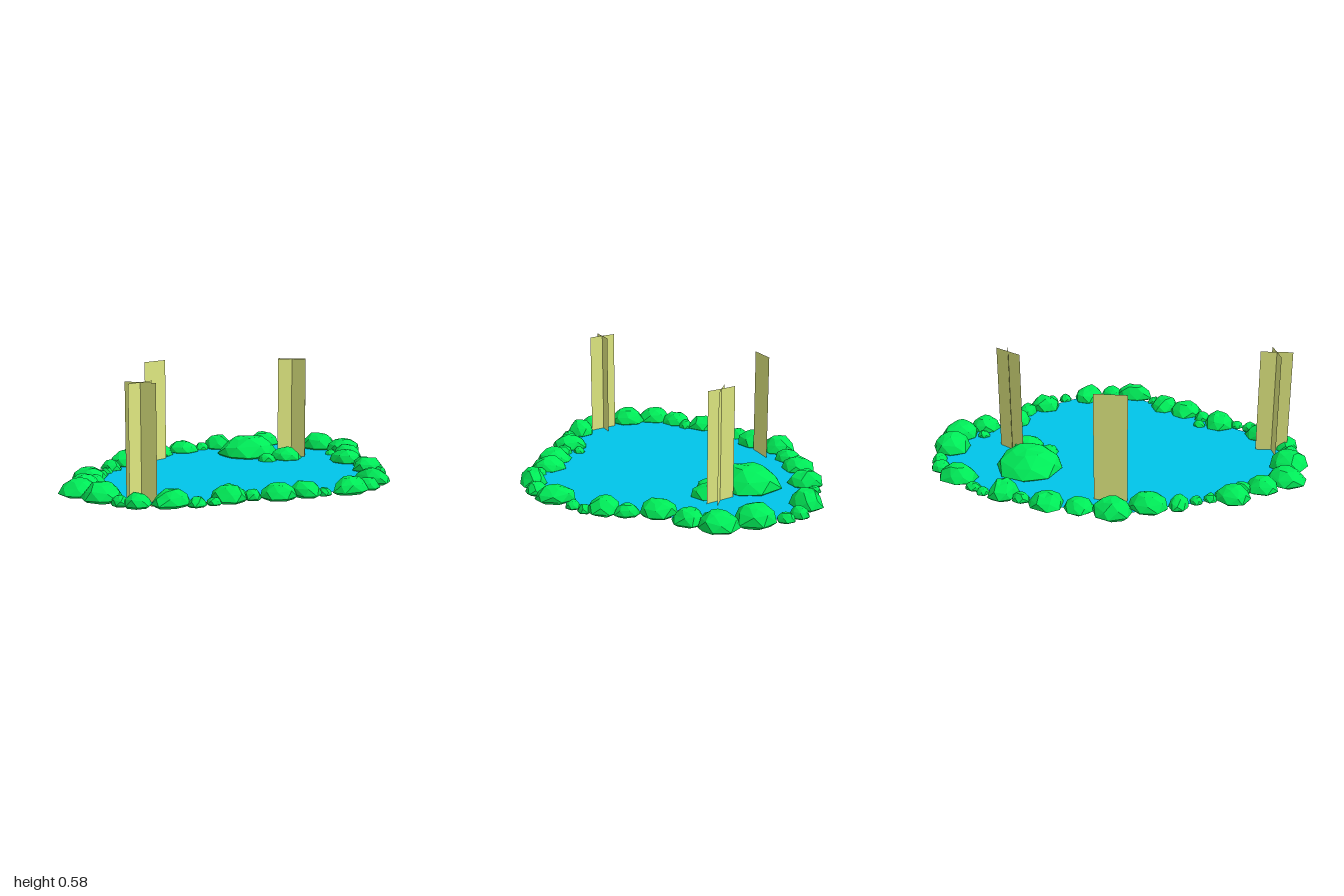
import * as THREE from 'three';

const WATER_Y = 0.02;
const REED_HEIGHT = 0.58;

// Rocks as [x, z, half width, half depth]
const backShore = [
  [-0.9, -0.09, 0.098, 0.1], [-0.8, -0.21, 0.085, 0.08], [-0.71, -0.25, 0.055, 0.042],
  [-0.685, -0.35, 0.09, 0.09], [-0.58, -0.395, 0.038, 0.038], [-0.52, -0.44, 0.035, 0.035],
  [-0.45, -0.505, 0.05, 0.068], [-0.31, -0.565, 0.104, 0.092], [-0.165, -0.675, 0.1, 0.093],
  [0, -0.68, 0.075, 0.073], [0.165, -0.688, 0.09, 0.088], [0.3, -0.68, 0.046, 0.04],
  [0.405, -0.655, 0.075, 0.094], [0.51, -0.67, 0.034, 0.034], [0.575, -0.64, 0.044, 0.034],
  [0.69, -0.57, 0.104, 0.08], [0.82, -0.5, 0.054, 0.047], [0.87, -0.42, 0.038, 0.048],
  [0.87, -0.27, 0.1, 0.104], [0.9, -0.095, 0.098, 0.1],
];
const frontShore = [
  [0.775, -0.07, 0.034, 0.034], [0.81, 0.03, 0.08, 0.08], [0.685, 0.145, 0.09, 0.094],
  [0.665, 0.295, 0.046, 0.064], [0.6, 0.395, 0.09, 0.08], [0.59, 0.487, 0.036, 0.036],
  [0.525, 0.535, 0.038, 0.038], [0.405, 0.61, 0.08, 0.104], [0.285, 0.695, 0.064, 0.058],
  [0.15, 0.705, 0.104, 0.068], [0.015, 0.663, 0.038, 0.036], [-0.065, 0.61, 0.074, 0.09],
  [-0.205, 0.572, 0.09, 0.09], [-0.32, 0.425, 0.036, 0.034], [-0.315, 0.513, 0.047, 0.047],
  [-0.425, 0.47, 0.084, 0.094], [-0.52, 0.48, 0.038, 0.036], [-0.605, 0.46, 0.052, 0.042],
  [-0.695, 0.38, 0.1, 0.074], [-0.825, 0.295, 0.068, 0.068], [-0.87, 0.22, 0.042, 0.052],
  [-0.88, 0.08, 0.1, 0.104],
];
const midWater = [
  [0.39, -0.36, 0.172, 0.168], [0.485, -0.14, 0.084, 0.094], [0.36, -0.155, 0.052, 0.052],
];

function seeded(seed) {
  return () => {
    seed = (seed * 16807) % 2147483647;
    return seed / 2147483647;
  };
}

// Faceted dome: rings of jittered points closed by an apex, open underneath
function rockGeometry(rx, rz, top, sides, rand) {
  const base = 0.011;
  const rings = [[0.8, 0], [1.02, 0.17], [0.84, 0.6], [0.46, 0.93]]; // radius, height
  const turn = rand() * Math.PI;
  const pos = [], index = [];
  rings.forEach(([r, h], k) => {
    for (let i = 0; i < sides; i++) {
      const a = turn + ((i + 0.5 * Math.max(0, k - 1) + (rand() - 0.5) * 0.3) / sides) * Math.PI * 2;
      const s = r * (1 + (rand() - 0.5) * 0.12);
      const y = base + (top - base) * (h + (k > 1 ? (rand() - 0.5) * 0.16 : 0));
      pos.push(Math.cos(a) * rx * s, y, Math.sin(a) * rz * s);
      const j = (i + 1) % sides, b = k * sides;
      if (k < rings.length - 1) {
        const t = b + sides;
        index.push(b + i, t + i, b + j, b + j, t + i, t + j);
      } else {
        index.push(b + i, rings.length * sides, b + j);
      }
    }
  });
  pos.push((rand() - 0.5) * rx * 0.2, top, (rand() - 0.5) * rz * 0.2);
  const g = new THREE.BufferGeometry();
  g.setAttribute('position', new THREE.Float32BufferAttribute(pos, 3));
  g.setIndex(index);
  const flat = g.toNonIndexed();
  flat.computeVertexNormals();
  return flat;
}

export function createModel() {
  const model = new THREE.Group();
  model.name = 'pond';
  const rockMat = new THREE.MeshStandardMaterial({ color: 0x00ec58, flatShading: true, side: THREE.DoubleSide });
  const waterMat = new THREE.MeshStandardMaterial({ color: 0x00c4ea, side: THREE.DoubleSide });
  const reedMat = new THREE.MeshStandardMaterial({ color: 0xdfe880, side: THREE.DoubleSide });

  // Water surface, its edge hidden beneath the shore rocks
  const edge = [
    [-0.9, -0.08], [-0.7, -0.33], [-0.46, -0.5], [-0.2, -0.68], [0.15, -0.7], [0.42, -0.67],
    [0.7, -0.58], [0.85, -0.42], [0.89, -0.2], [0.83, 0], [0.69, 0.17], [0.6, 0.4],
    [0.43, 0.62], [0.2, 0.7], [0, 0.64], [-0.21, 0.56], [-0.43, 0.47], [-0.7, 0.38], [-0.86, 0.2],
  ].map(([x, z]) => new THREE.Vector2(x, -z));
  const waterGeo = new THREE.ShapeGeometry(new THREE.Shape(edge));
  waterGeo.rotateX(-Math.PI / 2);
  const water = new THREE.Mesh(waterGeo, waterMat);
  water.name = 'water';
  water.position.y = WATER_Y;
  model.add(water);

  // Rocks around the shore and standing in the water
  const rand = seeded(4127);
  const addRocks = (name, list) => {
    const group = new THREE.Group();
    group.name = name;
    for (const [x, z, rx, rz] of list) {
      const r = (rx + rz) / 2;
      const top = Math.min(0.13, 0.02 + r * (0.7 + rand() * 0.22));
      const sides = r > 0.12 ? 8 : r > 0.05 ? 7 : 6;
      const rock = new THREE.Mesh(rockGeometry(rx, rz, top, sides, rand), rockMat);
      rock.name = 'rock';
      rock.position.set(x, 0, z);
      group.add(rock);
    }
    model.add(group);
  };
  addRocks('backShoreRocks', backShore);
  addRocks('frontShoreRocks', frontShore);
  addRocks('midWaterRocks', midWater);

  // Reeds: upright thin panels, each given by its half span in x and z
  const addReeds = (name, x, z, spans) => {
    const group = new THREE.Group();
    group.name = name;
    group.position.set(x, REED_HEIGHT / 2, z);
    for (const [dx, dz] of spans) {
      const panel = new THREE.Mesh(new THREE.PlaneGeometry(2 * Math.hypot(dx, dz), REED_HEIGHT), reedMat);
      panel.name = 'reedPanel';
      panel.rotation.y = Math.atan2(-dz, dx);
      group.add(panel);
    }
    model.add(group);
  };
  addReeds('rightReeds', -0.762, 0.238, [[0.081, -0.02], [0.037, 0.073]]);
  addReeds('leftReeds', 0.563, -0.176, [[0.078, 0.031], [0.037, 0.074]]);
  addReeds('backReeds', -0.12, -0.555, [[0.081, -0.016]]);

  return model;
}
